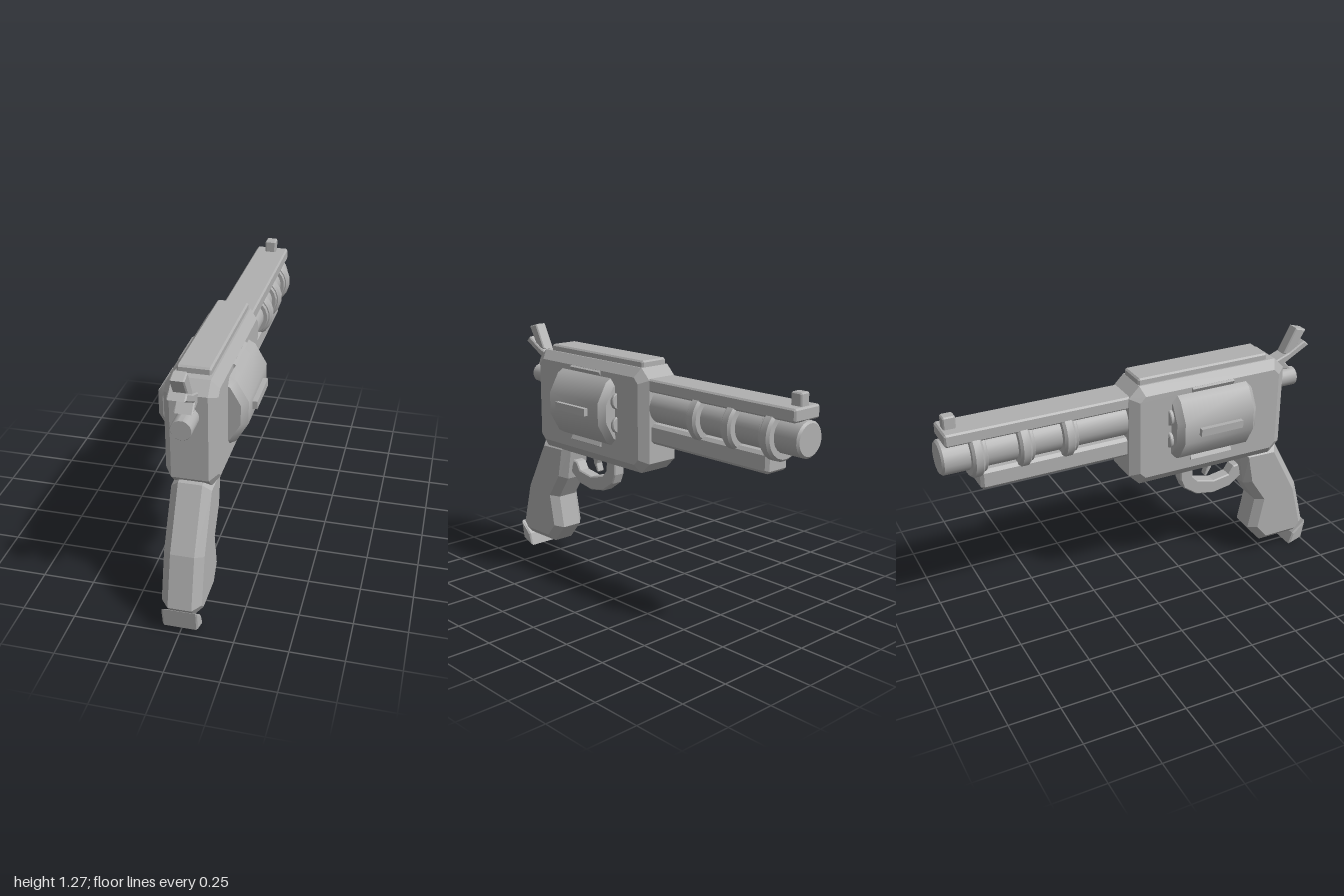
import * as THREE from 'three';
import { toCreasedNormals } from 'three/addons/utils/BufferGeometryUtils.js';

export function createModel() {
  const group = new THREE.Group();
  const steel = new THREE.MeshStandardMaterial({ color: 0xb0b0b0 });
  steel.name = 'grey steel';

  function add(name, geometry) {
    const mesh = new THREE.Mesh(geometry, steel);
    mesh.name = name;
    group.add(mesh);
    return mesh;
  }

  // Side profile in (z, y), spanning half-width hw either side of x = 0, with chamfered rims
  function slab(name, points, hw, inset = 0.01, thick = inset) {
    const shape = new THREE.Shape(points.map(([z, y]) => new THREE.Vector2(z, y)));
    const geometry = new THREE.ExtrudeGeometry(shape, {
      depth: 2 * (hw - thick),
      bevelEnabled: inset > 0,
      bevelSegments: 1,
      bevelSize: inset,
      bevelOffset: -inset,
      bevelThickness: thick,
    });
    geometry.translate(0, 0, -(hw - thick));
    geometry.rotateY(-Math.PI / 2);
    return add(name, geometry);
  }

  // Box given by its z and y ranges, with cut corners
  function block(name, z0, z1, y0, y1, hw, inset = 0.008, cut = 0.008) {
    return slab(name, [
      [z0 + cut, y0], [z1 - cut, y0], [z1, y0 + cut], [z1, y1 - cut],
      [z1 - cut, y1], [z0 + cut, y1], [z0, y1 - cut], [z0, y0 + cut],
    ], hw, inset);
  }

  // Turned solid along z with chamfered ends
  function turned(name, z0, z1, r, y, chamfer, sides, x = 0) {
    const profile = [
      [0, z0], [r - chamfer, z0], [r, z0 + chamfer],
      [r, z1 - chamfer], [r - chamfer, z1], [0, z1],
    ].map(([a, b]) => new THREE.Vector2(a, b));
    const lathe = new THREE.LatheGeometry(profile, sides, Math.PI / sides);
    lathe.rotateX(Math.PI / 2);
    lathe.translate(x, y, 0);
    return add(name, toCreasedNormals(lathe, 0.6));
  }

  // Frame and top strap
  const c = 0.055;
  slab('frame', [
    [-0.085 + c, 0.63], [0.775 - c, 0.63], [0.775, 0.63 + c], [0.775, 1.155 - c],
    [0.775 - c, 1.155], [-0.085 + c, 1.155], [-0.085, 1.155 - c], [-0.085, 0.63 + c],
  ], 0.12, 0.045, 0.035);
  block('topStrap', -0.03, 0.68, 1.13, 1.187, 0.077);

  // Drum with raised bars and chamber mouths
  const drumY = 0.913;
  turned('drum', 0.127, 0.567, 0.214, drumY, 0.03, 12);
  for (let i = 0; i < 3; i++) {
    const bar = new THREE.BoxGeometry(0.46, 0.038, 0.23);
    bar.rotateZ(i * Math.PI / 3);
    bar.translate(0, drumY, 0.35);
    add('drumBar', bar);
  }
  for (let i = 0; i < 6; i++) {
    const a = Math.PI / 6 + i * Math.PI / 3;
    turned('chamber', 0.11, 0.2, 0.045, drumY + 0.12 * Math.sin(a), 0.004, 12, 0.12 * Math.cos(a));
  }

  // Barrel, rib, underlug and bands
  const barrelY = 0.965;
  turned('barrel', -1, 0, 0.084, barrelY, 0.01, 20);
  block('barrelRib', -0.98, 0, 1.045, 1.107, 0.084);
  block('underlug', -0.825, 0, 0.785, 0.885, 0.07, 0.015, 0.012);
  for (const z of [-0.395, -0.612, -0.838]) {
    turned('barrelBand', z - 0.029, z + 0.029, 0.124, barrelY, 0.012, 20);
    turned('bandCollar', z + 0.01, z + 0.046, 0.106, barrelY, 0.004, 20);
  }
  block('frontSight', -0.965, -0.905, 1.09, 1.166, 0.028, 0.006, 0.006);

  // Hammer and rear pin
  turned('rearPin', 0.7, 0.893, 0.048, 0.998, 0.002, 16);
  slab('hammerSpur', [[0.935, 1.25], [0.877, 1.267], [0.81, 1.14], [0.86, 1.125]], 0.032, 0.006);
  slab('hammer', [
    [0.953, 1.17], [0.925, 1.195], [0.84, 1.145], [0.735, 1.105],
    [0.735, 1.08], [0.855, 1.055], [0.82, 1.095],
  ], 0.042, 0.006);

  // Grip and butt cap
  slab('grip', [
    [0.775, 0.66], [0.925, 0.378], [0.99, 0.13], [0.94, 0.073], [0.72, 0.073],
    [0.64, 0.17], [0.674, 0.34], [0.595, 0.46], [0.56, 0.66],
  ], 0.093, 0.037, 0.038);
  slab('buttCap', [[1, 0.128], [0.985, 0.024], [0.905, 0], [0.925, 0.065]], 0.083, 0.008);

  // Trigger guard and trigger
  slab('triggerGuard', [
    [0.575, 0.565], [0.6, 0.5], [0.53, 0.447], [0.43, 0.43], [0.33, 0.447],
    [0.255, 0.5], [0.235, 0.55], [0.235, 0.65], [0.302, 0.65], [0.304, 0.56],
    [0.335, 0.527], [0.43, 0.503], [0.52, 0.518], [0.547, 0.56],
  ], 0.033, 0.006);
  slab('trigger', [
    [0.425, 0.65], [0.42, 0.58], [0.39, 0.533], [0.382, 0.54], [0.395, 0.58], [0.365, 0.65],
  ], 0.02, 0.003);

  return group;
}
